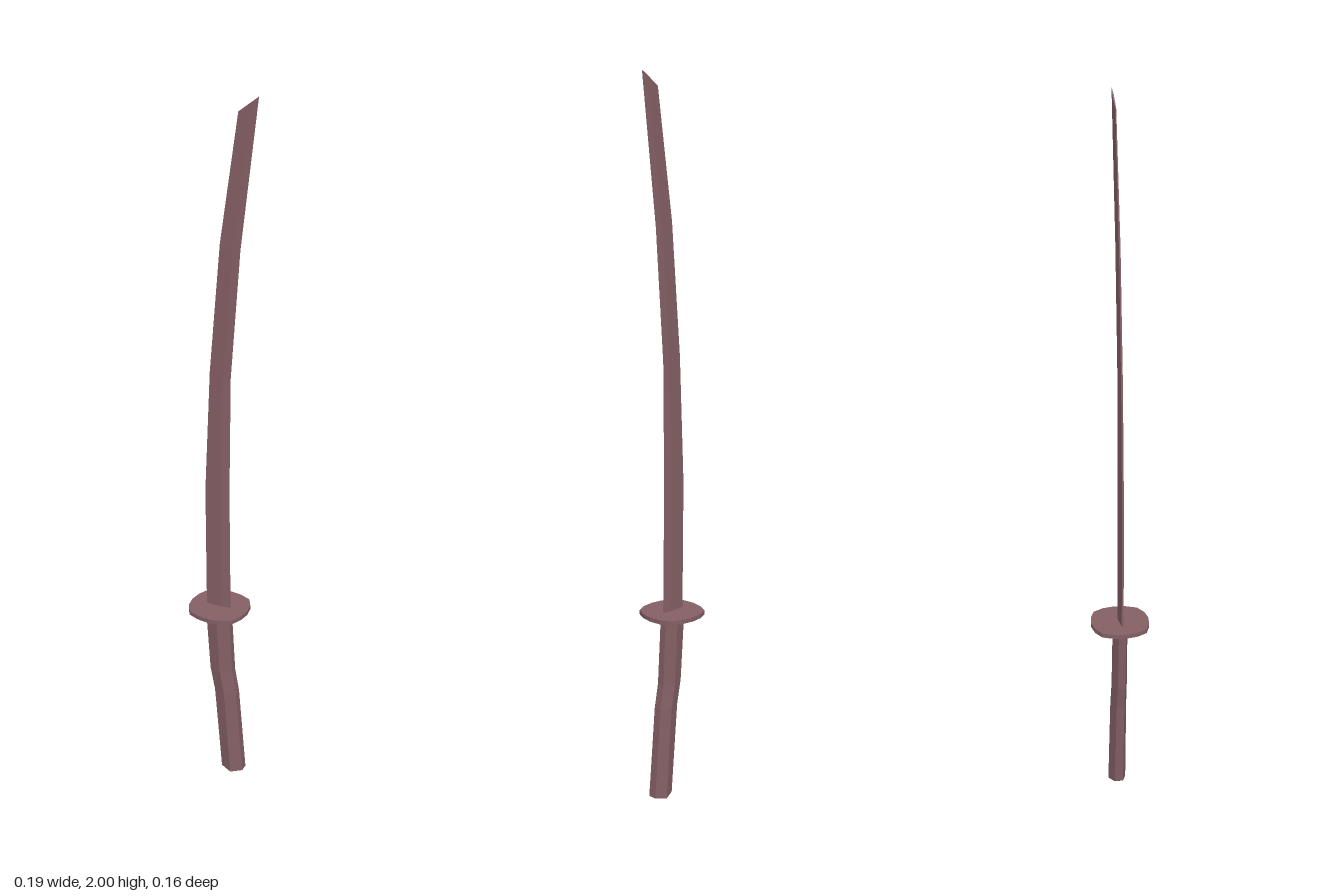
import * as THREE from 'three';

// Joins closed rings of [x, y, z] points (counter-clockwise seen from above, listed bottom to top) and caps the ends.
function loft(rings) {
  const n = rings[0].length;
  const index = [];
  for (let r = 0; r < rings.length - 1; r++) {
    for (let i = 0; i < n; i++) {
      const a = r * n + i, b = r * n + (i + 1) % n;
      index.push(a, b, b + n, a, b + n, a + n);
    }
  }
  const top = (rings.length - 1) * n;
  for (let i = 1; i < n - 1; i++) {
    index.push(0, i + 1, i);
    index.push(top, top + i, top + i + 1);
  }
  const geometry = new THREE.BufferGeometry();
  geometry.setAttribute('position', new THREE.Float32BufferAttribute(rings.flat(2), 3));
  geometry.setIndex(index);
  const flat = geometry.toNonIndexed();
  flat.computeVertexNormals();
  return flat;
}

export function createModel() {
  const group = new THREE.Group();
  const wood = new THREE.MeshStandardMaterial({ color: 0x835f64, flatShading: true });
  const add = (name, geometry) => {
    const mesh = new THREE.Mesh(geometry, wood);
    mesh.name = name;
    group.add(mesh);
  };

  // Blade: flat spine on -x, ridge two thirds across, sharp edge on +x.
  // Each station: spine x, spine y, edge x, edge y, half thickness.
  const blade = [
    [-0.05, 0.535, 0.021, 0.535, 0.0045],
    [-0.053, 0.9, 0.017, 0.9, 0.0045],
    [-0.039, 1.25, 0.02, 1.24, 0.004],
    [-0.01, 1.61, 0.046, 1.6, 0.0035],
    [0.039, 1.957, 0.093, 2.0, 0.002],
  ].map(([sx, sy, ex, ey, t]) => {
    const rx = sx + (ex - sx) * 0.66, ry = sy + (ey - sy) * 0.66;
    return [
      [ex, ey, 0], [rx, ry, -t], [sx, sy, -t * 0.6],
      [sx, sy, t * 0.6], [rx, ry, t],
    ];
  });
  add('blade', loft(blade));

  // Handle: hexagonal grip with a kink; each station: left x, right x, y, half depth.
  const grip = [
    [0, 0.064, 0.006, 0.025],
    [-0.022, 0.043, 0.265, 0.023],
    [-0.036, 0.031, 0.335, 0.022],
    [-0.05, 0.02, 0.535, 0.021],
  ].map(([l, r, y, d], k) => {
    const m = (l + r) / 2, h = d * 0.48, my = k === 0 ? 0 : y;
    return [[r, y, h], [r, y, -h], [m, my, -d], [l, y, -h], [l, y, h], [m, my, d]];
  });
  add('handle', loft(grip));

  // Guard: thin sixteen-sided disc, slightly squared off.
  const quarter = [[1, 0], [0.95, 0.4], [0.77, 0.76], [0.4, 0.93]];
  const outline = [];
  for (let q = 0; q < 4; q++) {
    for (const [u, v] of quarter) {
      const [a, b] = [[u, v], [-v, u], [-u, -v], [v, -u]][q];
      outline.push([-0.0125 + a * 0.0835, -b * 0.081]);
    }
  }
  add('guard', loft([0.529, 0.541].map((y) => outline.map(([x, z]) => [x, y, z]))));

  return group;
}
